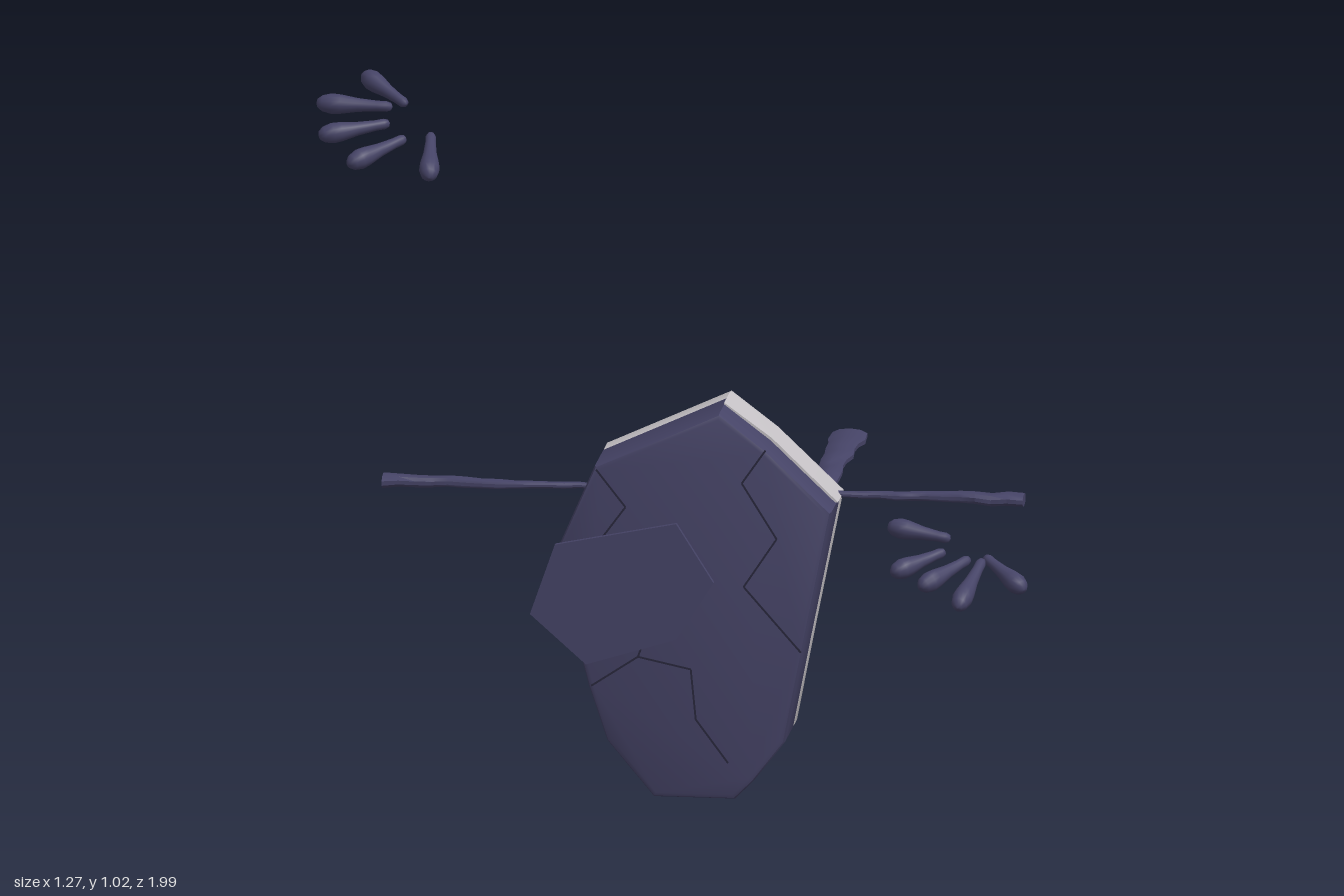
import * as THREE from 'three';
import { toCreasedNormals } from 'three/addons/utils/BufferGeometryUtils.js';
import { ConvexGeometry } from 'three/addons/geometries/ConvexGeometry.js';

const UP = new THREE.Vector3(0, 1, 0);

export function createModel() {
  const root = new THREE.Group();
  const mat = (name, color) => {
    const m = new THREE.MeshStandardMaterial({ color });
    m.name = name;
    return m;
  };
  const slate = mat('slate', 0x454366);
  const pale = mat('paleGrey', 0xc6c2c6);
  const crackDark = mat('crackDark', 0x28273c);

  const add = (name, geometry, material, parent = root) => {
    const mesh = new THREE.Mesh(geometry, material);
    mesh.name = name;
    parent.add(mesh);
    return mesh;
  };

  // Flat slab between two z values with a small bevel kept inside the outline
  const slab = (points, z0, z1, bevel) => {
    const shape = new THREE.Shape(points.map(([x, y]) => new THREE.Vector2(x, y)));
    const g = new THREE.ExtrudeGeometry(shape, {
      depth: z1 - z0 - 2 * bevel, bevelEnabled: bevel > 0, bevelSize: bevel,
      bevelThickness: bevel, bevelOffset: -bevel, bevelSegments: 2,
    });
    g.translate(0, 0, z0 + bevel);
    return toCreasedNormals(g, 0.5);
  };

  // Body: dark front slab, pale back slab and a wider pale rim at the upper left
  const outline = [
    [-0.02, 0], [0.11, 0], [0.14, 0.03], [0.19, 0.095], [0.22, 0.25], [0.265, 0.475],
    [0.16, 0.575], [0.085, 0.632], [-0.115, 0.54], [-0.18, 0.39], [-0.125, 0.18], [-0.095, 0.09],
  ];
  const body = new THREE.Group();
  body.name = 'body';
  root.add(body);
  add('bodyFront', slab(outline, 0.38, 0.5, 0.008), slate, body);
  const inset = outline.map(([x, y]) => [x, y < 0.01 ? 0.015 : y]);
  add('bodyBack', slab(inset, 0.335, 0.385, 0.005), pale, body);
  add('shoulderRim', slab(
    [[0.268, 0.477], [0.162, 0.579], [0.085, 0.635], [0.08, 0.61], [0.155, 0.56], [0.245, 0.475]],
    0.36, 0.433, 0), pale, body);

  // Cracks: thin strips along zigzag paths on both faces
  const cracks = [
    [[0.16, 0.575], [0.122, 0.52], [0.178, 0.43], [0.125, 0.35], [0.217, 0.245]],
    [[-0.112, 0.535], [-0.065, 0.475], [-0.12, 0.4], [-0.055, 0.34], [-0.025, 0.285], [-0.045, 0.23]],
    [[-0.12, 0.18], [-0.045, 0.23], [0.04, 0.212], [0.048, 0.13], [0.1, 0.06]],
  ];
  for (const path of cracks) {
    for (let i = 1; i < path.length; i++) {
      const [x0, y0] = path[i - 1], [x1, y1] = path[i];
      for (const z of [0.5, 0.335]) {
        const strip = add('crack', new THREE.BoxGeometry(Math.hypot(x1 - x0, y1 - y0), 0.003, 0.002), crackDark, body);
        strip.position.set((x0 + x1) / 2, (y0 + y1) / 2, z);
        strip.rotation.z = Math.atan2(y1 - y0, x1 - x0);
      }
    }
  }

  // Head: flat hexagonal face with a dome behind it
  const hex = [[0.04, 0.495], [0.1, 0.4], [0.04, 0.305], [-0.105, 0.26], [-0.195, 0.34], [-0.155, 0.455]];
  const rings = [[1, 0.682], [1, 0.673], [0.8, 0.638], [0.55, 0.609], [0.28, 0.594]];
  const headPoints = rings.flatMap(([s, z]) => hex.map(([x, y]) =>
    new THREE.Vector3(-0.045 + (x + 0.045) * s, 0.378 + (y - 0.378) * s, z)));
  add('head', toCreasedNormals(new ConvexGeometry(headPoints), 0.5), slate);

  // Limbs: rough flattened twigs that widen towards the tip
  let seed = 7;
  const rand = () => (seed = (seed * 16807) % 2147483647) / 2147483647;
  const twig = (length, steps, w0, w1, flare, h0, h1) => {
    const g = new THREE.CylinderGeometry(1, 1, length, 10, steps);
    const jitter = Array.from({ length: steps + 1 }, () =>
      [(rand() - 0.5) * 0.005, (rand() - 0.5) * 0.003, 0.92 + rand() * 0.16]);
    const p = g.attributes.position;
    for (let i = 0; i < p.count; i++) {
      const t = p.getY(i) / length + 0.5;
      const [dx, dz, s] = jitter[Math.round(t * steps)];
      const w = w0 + (w1 - w0) * t + flare * t ** 10;
      const h = h0 + (h1 - h0) * t;
      p.setXYZ(i, p.getX(i) * w * s + dx, t * length, p.getZ(i) * h * s + dz);
    }
    g.computeVertexNormals();
    return toCreasedNormals(g, 0.9);
  };
  const tail = add('tail', twig(1.4, 40, 0.006, 0.022, 0.01, 0.004, 0.011), slate);
  tail.position.set(0.1, 0.23, 0.4);
  tail.rotation.x = -Math.PI / 2;
  const socket = add('tailSocket', new THREE.CylinderGeometry(0.016, 0.016, 0.004, 12), crackDark);
  socket.position.set(0.1, 0.23, 0.335);
  socket.rotation.x = Math.PI / 2;
  for (const [name, side, start, end] of [['rightArm', -1, -0.1, -0.47], ['leftArm', 1, 0.2, 0.56]]) {
    const arm = add(name, twig(Math.abs(end - start), 14, 0.006, 0.018, 0.004, 0.004, 0.011), slate);
    // Length along x, broad side along z
    const basis = new THREE.Matrix4().makeBasis(
      new THREE.Vector3(0, 0, 1), new THREE.Vector3(side, 0, 0), new THREE.Vector3(0, side, 0));
    arm.quaternion.setFromRotationMatrix(basis);
    arm.position.set(start, 0.478, 0.38);
  }

  // Fingers: free teardrops, from narrow inner end to round outer end
  const profile = [[0, 0], [0.006, 0.02], [0.0085, 0.08], [0.0085, 0.2], [0.011, 0.45],
    [0.0155, 0.68], [0.0165, 0.8], [0.013, 0.92], [0.007, 0.985], [0, 1]];
  const finger = (inner, outer, parent) => {
    const a = new THREE.Vector3(...inner), d = new THREE.Vector3(...outer).sub(a);
    const length = d.length();
    const g = new THREE.LatheGeometry(profile.map(([r, t]) => new THREE.Vector2(r, t * length)), 14);
    const mesh = add('finger', g, slate, parent);
    mesh.position.copy(a);
    mesh.quaternion.setFromUnitVectors(UP, d.normalize());
  };
  const hands = {
    rightHand: [
      [[-0.495, 0.975, -0.1], [-0.572, 1.008, -0.16]],
      [[-0.515, 0.975, -0.083], [-0.638, 0.977, -0.085]],
      [[-0.515, 0.957, -0.048], [-0.625, 0.942, -0.01]],
      [[-0.485, 0.942, -0.012], [-0.568, 0.914, 0.062]],
      [[-0.447, 0.945, -0.032], [-0.437, 0.897, 0.07]],
    ],
    leftHand: [
      [[0.5, 0.52, 0.823], [0.397, 0.535, 0.81]],
      [[0.495, 0.508, 0.858], [0.418, 0.486, 0.925]],
      [[0.537, 0.502, 0.877], [0.468, 0.473, 0.962]],
      [[0.558, 0.5, 0.875], [0.532, 0.448, 0.992]],
      [[0.56, 0.502, 0.862], [0.632, 0.466, 0.93]],
    ],
  };
  for (const [name, fingers] of Object.entries(hands)) {
    const hand = new THREE.Group();
    hand.name = name;
    root.add(hand);
    for (const [inner, outer] of fingers) finger(inner, outer, hand);
  }
  return root;
}
